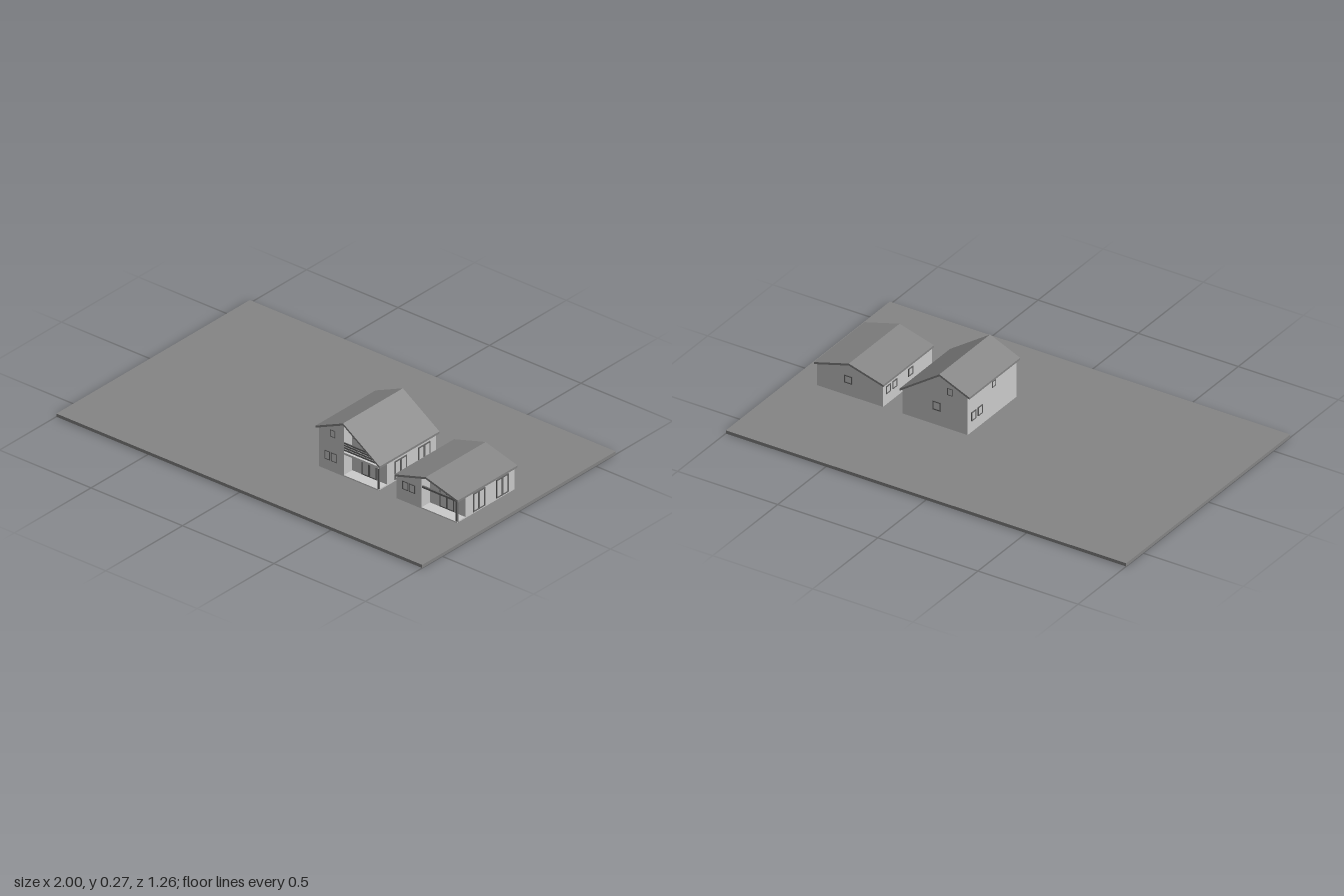
import * as THREE from 'three';

const light = new THREE.MeshStandardMaterial({ color: 0xcccccc });
const dark = new THREE.MeshStandardMaterial({ color: 0x858585 });
const frameMat = new THREE.MeshStandardMaterial({ color: 0x666666 });
const GROUND = 0.015, BACK = -0.11, RECESS = 0.21, FRONT = 0.265;

function add(parent, name, geometry, material) {
  const mesh = new THREE.Mesh(geometry, material);
  mesh.name = name;
  parent.add(mesh);
  return mesh;
}

// Box given by its minimum and maximum corners
function block(parent, name, material, [x0, y0, z0], [x1, y1, z1]) {
  const mesh = add(parent, name, new THREE.BoxGeometry(x1 - x0, y1 - y0, z1 - z0), material);
  mesh.position.set((x0 + x1) / 2, (y0 + y1) / 2, (z0 + z1) / 2);
  return mesh;
}

// Outline in x and y, drawn out along z
function prism(parent, name, material, points, z0, z1) {
  const shape = new THREE.Shape(points.map(p => new THREE.Vector2(...p)));
  const geometry = new THREE.ExtrudeGeometry(shape, { depth: z1 - z0, bevelEnabled: false });
  geometry.translate(0, 0, z0);
  return add(parent, name, geometry, material);
}

// Framed window or door with side-by-side panes, centred on a wall and turned to face outward
function opening(parent, name, width, height, panes, position, turn) {
  const group = new THREE.Group();
  group.name = name;
  const bar = Math.min(0.005, width * 0.12);
  const rect = (target, x0, y0, x1, y1) =>
    target.moveTo(x0, y0).lineTo(x1, y0).lineTo(x1, y1).lineTo(x0, y1).closePath();
  const shape = rect(new THREE.Shape(), -width / 2, -height / 2, width / 2, height / 2);
  for (let i = 0; i < panes; i++) {
    const x0 = -width / 2 + (i * width) / panes;
    shape.holes.push(rect(new THREE.Path(), x0 + bar, -height / 2 + bar,
      x0 + width / panes - bar, height / 2 - bar));
  }
  add(group, 'frame', new THREE.ExtrudeGeometry(shape, { depth: 0.004, bevelEnabled: false }), frameMat);
  block(group, 'glass', light, [-width / 2 + bar, -height / 2 + bar, -0.001],
    [width / 2 - bar, height / 2 - bar, 0.0015]);
  group.position.set(...position);
  group.rotation.y = turn;
  parent.add(group);
}

// House shell: gabled body, projecting front room, roof, terrace and corner post
function house(name, { wall, roof, split }) {
  const group = new THREE.Group();
  group.name = name;
  const thick = 0.01;
  const [eaveL, ridge, eaveR] = roof;
  const roofAt = x => {
    const [a, b] = x < ridge[0] ? [eaveL, ridge] : [ridge, eaveR];
    return THREE.MathUtils.mapLinear(x, a[0], b[0], a[1], b[1]);
  };
  const under = x => [x, roofAt(x) - thick];
  const [x0, x1] = wall;

  prism(group, 'mainWalls', light,
    [[x0, GROUND], [x1, GROUND], under(x1), under(ridge[0]), under(x0)], BACK, RECESS);
  const top = split > ridge[0] ? [under(split), under(ridge[0]), under(x0)] : [under(split), under(x0)];
  prism(group, 'frontRoom', light, [[x0, GROUND], [split, GROUND], ...top], RECESS, FRONT);

  prism(group, 'roof', dark,
    [...roof, ...[eaveR, ridge, eaveL].map(([x, y]) => [x, y - thick])], -0.12, 0.27);

  block(group, 'terrace', light, [split, GROUND, RECESS], [x1, GROUND + 0.006, FRONT]);
  block(group, 'cornerPost', frameMat, [x1 - 0.008, GROUND, FRONT - 0.01],
    [x1, under(x1)[1] + 0.002, FRONT - 0.002]);

  // Paired glass doors along the +x wall
  for (const z of [0.123, -0.03])
    opening(group, 'sideDoor', 0.077, 0.088, 2, [x1, 0.067, z], Math.PI / 2);
  return group;
}

const HALF = Math.PI / 2;

function tallHouse() {
  const split = 0.265;
  const g = house('tallHouse', {
    wall: [0.13, 0.455], split,
    roof: [[0.115, 0.207], [0.265, 0.272], [0.465, 0.137]],
  });
  // Front windows and terrace doors
  for (const x of [0.177, 0.213]) opening(g, 'frontWindow', 0.03, 0.042, 1, [x, 0.087, FRONT], 0);
  opening(g, 'upperWindow', 0.027, 0.034, 1, [0.207, 0.2, FRONT], 0);
  opening(g, 'balconyWindow', 0.03, 0.04, 1, [0.29, 0.197, RECESS], 0);
  opening(g, 'terraceDoor', 0.08, 0.088, 2, [0.36, 0.067, RECESS], 0);

  // Balcony floor and slatted rail, each slat ending under the roof slope
  block(g, 'balconyFloor', light, [split, 0.12, RECESS], [0.455, 0.13, FRONT]);
  for (let i = 0; i < 4; i++) {
    const y = 0.137 + i * 0.011;
    const end = Math.min(0.45, split + (0.255 - y) / 0.675);
    block(g, 'balconySlat', frameMat, [split, y, FRONT - 0.006], [end, y + 0.007, FRONT - 0.002]);
  }

  // Back and -x side windows
  opening(g, 'backWindow', 0.042, 0.042, 1, [0.283, 0.108, BACK], Math.PI);
  opening(g, 'upperBackWindow', 0.027, 0.034, 1, [0.216, 0.197, BACK], Math.PI);
  for (const z of [-0.065, -0.015]) opening(g, 'sideWindow', 0.035, 0.042, 1, [0.13, 0.09, z], -HALF);
  opening(g, 'upperSideWindow', 0.027, 0.03, 1, [0.13, 0.168, 0.09], -HALF);
  return g;
}

function lowHouse() {
  const split = 0.69;
  const g = house('lowHouse', {
    wall: [0.553, 0.883], split,
    roof: [[0.545, 0.129], [0.717, 0.178], [0.892, 0.129]],
  });
  // Front windows and terrace doors
  for (const x of [0.604, 0.64]) opening(g, 'frontWindow', 0.033, 0.04, 1, [x, 0.094, FRONT], 0);
  opening(g, 'terraceDoor', 0.08, 0.09, 2, [0.785, 0.069, RECESS], 0);
  block(g, 'porchBeam', frameMat, [split, 0.114, FRONT - 0.01], [0.883, 0.123, FRONT - 0.002]);

  // Back and -x side windows
  opening(g, 'backWindow', 0.04, 0.037, 1, [0.725, 0.094, BACK], Math.PI);
  for (const z of [-0.07, -0.02, 0.1]) opening(g, 'sideWindow', 0.035, 0.037, 1, [0.553, 0.085, z], -HALF);
  return g;
}

export function createModel() {
  const model = new THREE.Group();
  model.name = 'housePlot';
  block(model, 'ground', dark, [-1, 0, -0.63], [1, GROUND, 0.63]);
  model.add(tallHouse(), lowHouse());
  return model;
}
